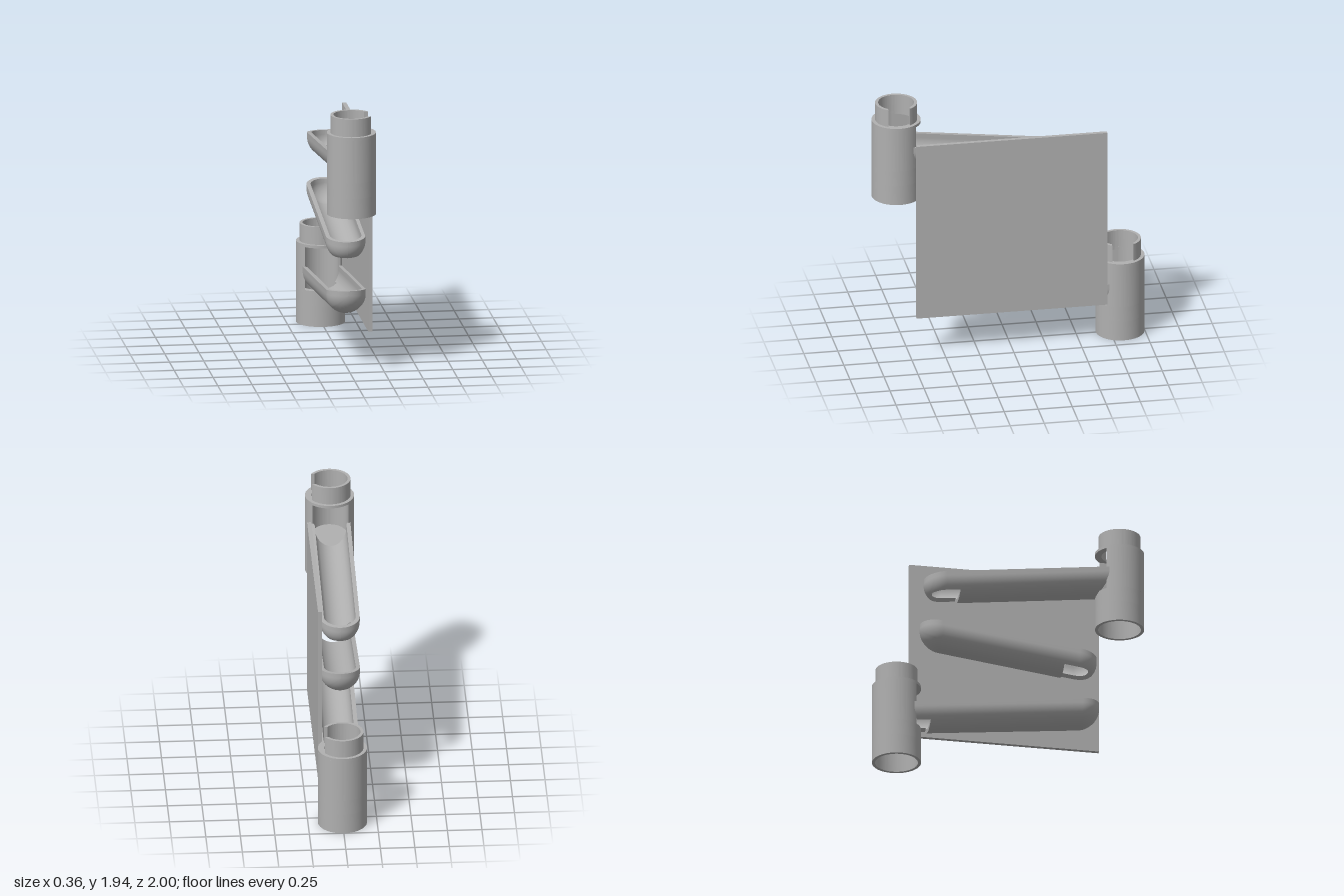
import * as THREE from 'three';
import { mergeGeometries, toCreasedNormals } from 'three/addons/utils/BufferGeometryUtils.js';

const TUBE_Z = 0.822, TUBE_R = 0.178, BORE = 0.13;
const R = 0.145, RI = 0.115, WALL = 0.035, HOLE = 0.085;

const grey = new THREE.MeshStandardMaterial({ color: 0xb0b0b0, side: THREE.DoubleSide });
grey.name = 'grey plastic';

function add(parent, name, geometry) {
  const mesh = new THREE.Mesh(geometry, grey);
  mesh.name = name;
  parent.add(mesh);
  return mesh;
}

// Surface through rows of points; skipped cells stay open.
function grid(rows, flip = false, skip = () => false) {
  const n = rows[0].length, index = [];
  for (let i = 0; i < rows.length - 1; i++) {
    for (let j = 0; j < n - 1; j++) {
      if (skip(i, j)) continue;
      const a = i * n + j, b = a + 1, d = a + n, c = d + 1;
      if (flip) index.push(a, d, b, b, d, c);
      else index.push(a, b, d, b, c, d);
    }
  }
  const g = new THREE.BufferGeometry();
  g.setAttribute('position', new THREE.Float32BufferAttribute(rows.flat(2), 3));
  g.setIndex(index);
  g.computeVertexNormals();
  return g;
}

// Upright ring, optionally with a parallel-sided gap facing the given angle.
function ring(rOut, rIn, y0, y1, gap = 0, facing = 0) {
  const s = new THREE.Shape();
  if (gap) {
    const ao = Math.asin(gap / rOut), ai = Math.asin(Math.min(1, gap / rIn));
    s.absarc(0, 0, rOut, facing + ao, facing + Math.PI * 2 - ao, false);
    s.absarc(0, 0, rIn, facing + Math.PI * 2 - ai, facing + ai, true);
  } else {
    s.absarc(0, 0, rOut, 0, Math.PI * 2, false);
    s.holes.push(new THREE.Path().absarc(0, 0, rIn, 0, Math.PI * 2, true));
  }
  const g = new THREE.ExtrudeGeometry(s, { depth: y1 - y0, bevelEnabled: false, curveSegments: 48 });
  g.rotateX(-Math.PI / 2).translate(0, y0, 0);
  return toCreasedNormals(g, 0.6);
}

// Connecting tube: socket, body with a side window, and a slotted collar.
function tube(name, y, z, facing) {
  const t = new THREE.Group();
  t.name = name;
  t.position.set(0, y, z);
  add(t, 'socket', ring(TUBE_R, 0.155, 0, 0.15));
  add(t, 'body', ring(TUBE_R, BORE, 0.15, 0.265));
  add(t, 'windowWall', ring(TUBE_R, BORE, 0.265, 0.585, 0.1299, facing));
  add(t, 'shoulder', ring(TUBE_R, BORE, 0.585, 0.605));
  add(t, 'collar', ring(0.152, BORE, 0.605, 0.737, 0.078, 0));
  return t;
}

// Round-ended chute falling toward +z. An end given as null meets a tube.
function chute(name, rim, slope, start, end, holeStart) {
  const stations = [];
  const phiHole = Math.asin(HOLE / RI);
  if (start === null) stations.push({ open: -1, phi: 0 });
  else for (let i = 0; i <= 12; i++) {
    stations.push({ zc: start + R, sign: -1, phi: (1 - i / 12) * Math.PI / 2 });
  }
  const first = stations.length;
  stations.push({ zc: holeStart, sign: 1, phi: 0 });
  let last;
  if (end === null) {
    stations.push({ open: 1, phi: 0 });
    last = stations.length - 1;
  } else {
    for (let i = 0; i <= 8; i++) stations.push({ zc: end - R, sign: 1, phi: phiHole * i / 8, cap: true });
    last = stations.length - 1;
    for (let i = 1; i <= 8; i++) {
      stations.push({ zc: end - R, sign: 1, phi: phiHole + (Math.PI / 2 - phiHole) * i / 8, cap: true });
    }
  }
  // Columns: wall, curve to hole edge, hole span, curve, wall
  const side = 8, mid = 8, cA = side + 1, cB = cA + mid;
  const section = (st, rad) => {
    const r = rad * Math.cos(st.phi);
    let edge = phiHole;
    if (st.cap) {
      const w = Math.sqrt(Math.max(0, HOLE ** 2 - (RI * Math.sin(st.phi)) ** 2));
      edge = st.phi >= phiHole - 1e-6 ? 0 : Math.asin(Math.min(1, w / (RI * Math.cos(st.phi))));
    }
    const H = Math.PI / 2, angles = [];
    for (let i = 0; i < side; i++) angles.push(-H + (H - edge) * i / side);
    for (let i = 0; i <= mid; i++) angles.push(-edge + 2 * edge * i / mid);
    for (let i = 1; i <= side; i++) angles.push(edge + (H - edge) * i / side);
    const pts = angles.map(a => [r * Math.sin(a), -WALL - r * Math.cos(a)]);
    pts.unshift([-r, 0]);
    pts.push([r, 0]);
    return pts.map(([x, y]) => {
      const z = st.open ? st.open * (TUBE_Z - Math.sqrt(0.17 ** 2 - x * x))
        : st.zc + st.sign * rad * Math.sin(st.phi);
      return [x, y + rim - slope * z, z];
    });
  };
  const outer = stations.map(s => section(s, R)), inner = stations.map(s => section(s, RI));
  const inHole = (i, j) => i >= first && i < last && j >= cA && j < cB;
  const edge = (j, a, b, flip) =>
    grid(outer.slice(a, b).map((row, i) => [row[j], inner[a + i][j]]), flip);
  const n = outer[0].length - 1, all = stations.length;
  return [name, mergeGeometries([
    grid(outer, false, inHole),
    grid(inner, true, inHole),
    edge(0, 0, all, true), edge(n, 0, all, false),
    edge(cA, first, last + 1, false), edge(cB, first, last + 1, true),
    grid([outer[first].slice(cA, cB + 1), inner[first].slice(cA, cB + 1)]),
  ])];
}

export function createModel() {
  const model = new THREE.Group();
  model.name = 'marbleRunModule';

  // Backing panel
  add(model, 'panel', new THREE.BoxGeometry(0.03, 1.365, 1.4)).position.set(0.155, 0.9725, 0);

  // Entry and exit tubes, windows facing each other
  const entry = tube('entryTube', 1.207, TUBE_Z, Math.PI / 2);
  const exit = tube('exitTube', 0, -TUBE_Z, -Math.PI / 2);
  model.add(entry, exit);

  // Sloped floor inside the entry tube
  const floor = new THREE.CylinderGeometry(BORE + 0.005, BORE + 0.005, 0.03, 48);
  const p = floor.attributes.position;
  for (let i = 0; i < p.count; i++) p.setY(i, p.getY(i) + 0.12 * p.getZ(i));
  add(entry, 'entryFloor', floor).position.y = 0.265;

  // Zigzag chutes
  add(model, ...chute('upperChute', 1.553, 0.12, null, 0.62, 0.37)).rotation.y = Math.PI;
  add(model, ...chute('middleChute', 1.033, 0.13, -0.65, 0.65, 0.395));
  add(model, ...chute('lowerChute', 0.515, 0.11, -0.67, null, 0.59)).rotation.y = Math.PI;
  return model;
}
